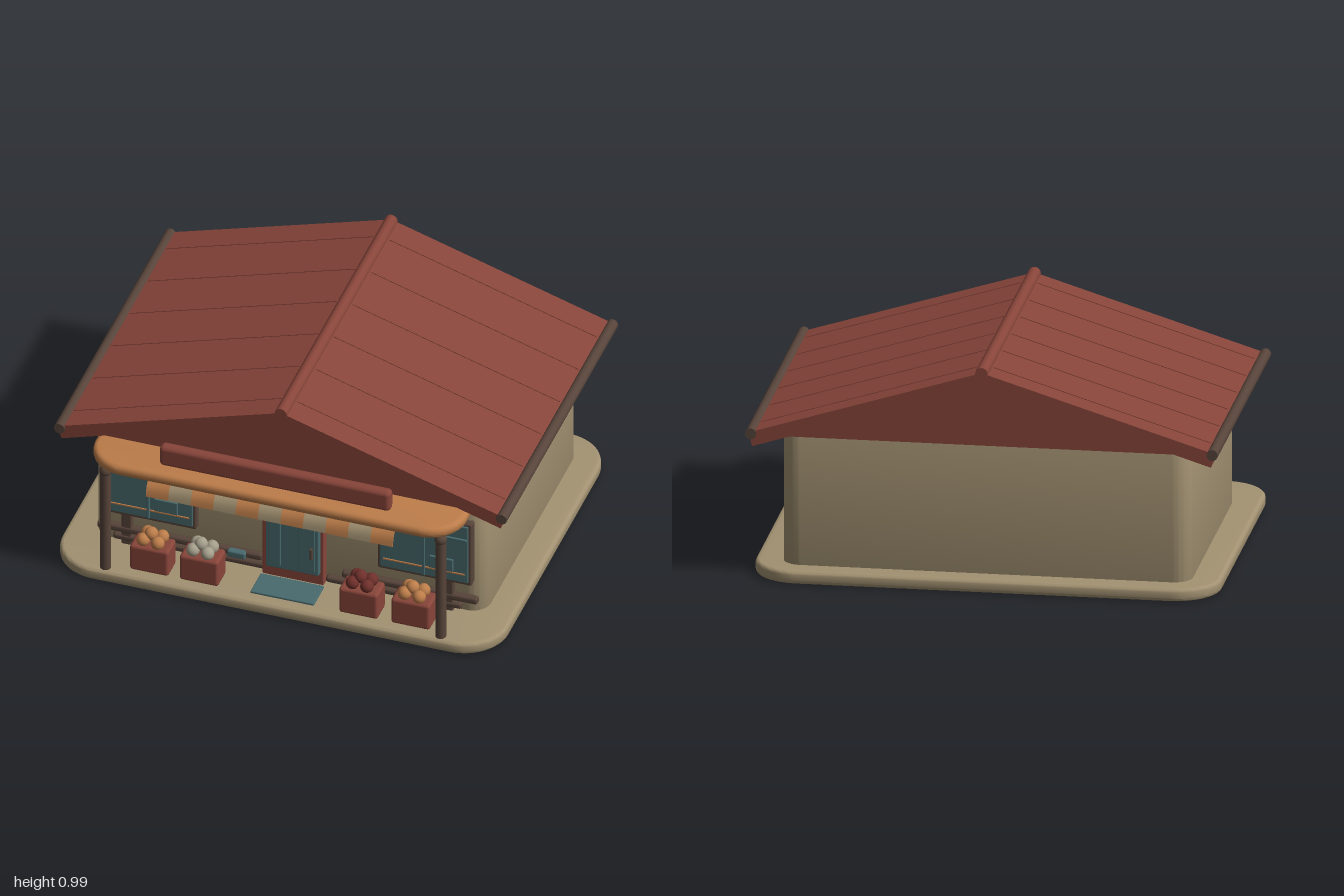
import * as THREE from 'three';
import { toCreasedNormals } from 'three/addons/utils/BufferGeometryUtils.js';
import { RoundedBoxGeometry } from 'three/addons/geometries/RoundedBoxGeometry.js';

const paint = (name, color) => {
  const m = new THREE.MeshStandardMaterial({ color });
  m.name = name;
  return m;
};

export function createModel() {
  const model = new THREE.Group();
  const cream = paint('cream plaster', 0xa39272);
  const red = paint('clay red', 0x88453a);
  const orange = paint('warm orange', 0xbd7d4a);
  const teal = paint('dusty teal', 0x486a6e);
  const brown = paint('dark timber', 0x57443a);
  const darkRed = paint('dark red fruit', 0x6f302b);
  const pale = paint('pale fruit', 0xa59f8c);

  const add = (name, geometry, material, x = 0, y = 0, z = 0, parent = model) => {
    const mesh = new THREE.Mesh(geometry, material);
    mesh.name = name;
    mesh.position.set(x, y, z);
    parent.add(mesh);
    return mesh;
  };
  // Box given by its limits, with softened edges
  const block = (name, material, x0, x1, y0, y1, z0, z1, r = 0.006, parent = model) =>
    add(name, new RoundedBoxGeometry(x1 - x0, y1 - y0, z1 - z0, 2, r), material,
      (x0 + x1) / 2, (y0 + y1) / 2, (z0 + z1) / 2, parent);

  // Horizontal slab with rounded plan corners and a rounded rim
  const slab = (name, material, x, z0, z1, y0, y1, rFront, rBack, bevel) => {
    const a = x - bevel, f = -(z1 - bevel), b = -(z0 + bevel);
    const s = new THREE.Shape();
    s.moveTo(-a + rFront, f);
    s.lineTo(a - rFront, f);
    s.absarc(a - rFront, f + rFront, rFront, -Math.PI / 2, 0);
    s.absarc(a - rBack, b - rBack, rBack, 0, Math.PI / 2);
    s.absarc(-a + rBack, b - rBack, rBack, Math.PI / 2, Math.PI);
    s.absarc(-a + rFront, f + rFront, rFront, Math.PI, Math.PI * 1.5);
    const g = new THREE.ExtrudeGeometry(s, {
      depth: y1 - y0 - 2 * bevel, bevelEnabled: true, bevelSize: bevel,
      bevelThickness: bevel, bevelSegments: 3, curveSegments: 8,
    });
    g.rotateX(-Math.PI / 2);
    return add(name, toCreasedNormals(g, 0.7), material, 0, y0 + bevel, 0);
  };

  slab('basePlinth', cream, 0.985, -0.78, 0.77, 0, 0.055, 0.18, 0.18, 0.015);
  slab('houseBody', cream, 0.865, -0.68, 0.53, 0.04, 0.655, 0.07, 0.07, 0.01);

  // Roof: chevron shell, closed gables, ridge, gutters and seams
  const extrudeZ = (points, z0, z1) => {
    const g = new THREE.ExtrudeGeometry(
      new THREE.Shape(points.map(([x, y]) => new THREE.Vector2(x, y))),
      { depth: z1 - z0, bevelEnabled: false });
    return g.translate(0, 0, z0);
  };
  add('roofPanels', extrudeZ([[0, 0.967], [-0.985, 0.66], [-0.97, 0.6], [0, 0.907],
    [0.97, 0.6], [0.985, 0.66]], -0.79, 0.635), red);
  add('gable', extrudeZ([[-0.86, 0.642], [0.86, 0.642], [0, 0.912]], -0.765, 0.61), red);

  const rod = (name, material, r, length, x, y, z, axis, parent = model) => {
    const g = new THREE.CylinderGeometry(r, r, length, 16);
    if (axis === 'z') g.rotateX(Math.PI / 2);
    if (axis === 'x') g.rotateZ(Math.PI / 2);
    return add(name, g, material, x, y, z, parent);
  };
  rod('ridgeCap', red, 0.027, 1.43, 0, 0.963, -0.077, 'z');
  const slope = Math.atan2(0.307, 0.985);
  for (const side of [-1, 1]) {
    rod('gutter', brown, 0.024, 1.44, side * 0.976, 0.655, -0.075, 'z');
    for (let i = 0; i < 6; i++) {
      const seam = add('roofSeam', new THREE.BoxGeometry(0.96, 0.006, 0.012), red,
        side * 0.492, 0.8135, 0.52 - i * 0.238);
      seam.rotation.z = -side * slope;
    }
  }

  // Porch canopy with sign board and posts
  slab('canopy', orange, 0.82, 0.5, 0.793, 0.585, 0.637, 0.14, 0.03, 0.02);
  block('signBoard', red, -0.51, 0.51, 0.63, 0.73, 0.672, 0.724, 0.02);
  block('canopyBeam', cream, -0.7, 0.7, 0.558, 0.588, 0.58, 0.61);
  for (const side of [-1, 1]) {
    rod('porchPost', brown, 0.023, 0.515, side * 0.74, 0.31, 0.735, 'y');
    add('postCap', new THREE.SphereGeometry(0.027, 16, 10), brown, side * 0.74, 0.56, 0.735);
    block('canopyBracket', teal, side * 0.61 - 0.045, side * 0.61 + 0.045, 0.542, 0.549, 0.59, 0.68, 0.003);
  }

  // Striped valance: curved strips in two colours
  const valance = new THREE.Group();
  valance.name = 'valance';
  model.add(valance);
  const drop = [[0.72, 0.588], [0.752, 0.578], [0.776, 0.556], [0.785, 0.53], [0.788, 0.508]];
  const stripWidth = 1.09 / 11;
  for (let i = 0; i < 11; i++) {
    const outline = [...drop, ...drop.map(([z, y]) => [z - 0.006, y - 0.001]).reverse()];
    const g = extrudeZ(outline, -stripWidth / 2, stripWidth / 2);
    g.rotateY(-Math.PI / 2);
    add('valanceStrip', toCreasedNormals(g, 0.7), i % 2 ? cream : orange, (i - 5) * stripWidth, 0, 0, valance);
  }

  // Windows: timber frame, panes, glazing bars and ledge
  for (const side of [-1, 1]) {
    const win = new THREE.Group();
    win.name = 'window';
    win.position.x = side * 0.608;
    model.add(win);
    block('windowFrame', brown, -0.208, 0.208, 0.205, 0.525, 0.51, 0.56, 0.008, win);
    block('windowPane', teal, -0.194, 0.194, 0.222, 0.513, 0.545, 0.568, 0.004, win);
    block('glazingBar', teal, -0.006, 0.006, 0.225, 0.51, 0.56, 0.578, 0.003, win);
    block('glazingBar', teal, -0.19, 0.19, 0.439, 0.451, 0.56, 0.576, 0.003, win);
    block('windowLedge', orange, -0.18, 0.18, 0.262, 0.27, 0.56, 0.572, 0.002, win);
    block('windowDisplay', teal, 0.025, 0.13, 0.272, 0.335, 0.56, 0.576, 0.004, win);
  }

  // Door with surround, panel strips and handle
  block('doorSurround', red, -0.107, 0.165, 0.055, 0.53, 0.51, 0.565);
  block('doorLeaf', teal, -0.085, 0.15, 0.115, 0.513, 0.55, 0.588);
  block('doorPanel', teal, -0.07, -0.016, 0.135, 0.5, 0.57, 0.595, 0.004);
  block('doorPanel', teal, 0.06, 0.135, 0.135, 0.5, 0.57, 0.595, 0.004);
  rod('doorHandle', brown, 0.008, 0.05, 0.122, 0.235, 0.6, 'y');
  block('doorMat', teal, -0.11, 0.17, 0.05, 0.064, 0.575, 0.71, 0.004);

  // Low rails along the front wall
  for (const side of [-1, 1]) {
    const inner = side < 0 ? 0.11 : 0.24;
    block('upperRail', brown, ...(side < 0 ? [-0.84, -inner] : [inner, 0.84]), 0.11, 0.143, 0.525, 0.56, 0.012);
    block('lowerRail', brown, ...(side < 0 ? [-0.77, -0.1] : [0.17, 0.77]), 0.07, 0.1, 0.525, 0.56, 0.012);
    block('railPost', brown, side * 0.71 - 0.022, side * 0.71 + 0.022, 0.05, 0.21, 0.525, 0.556);
  }
  block('smallTealBox', teal, -0.26, -0.18, 0.11, 0.143, 0.54, 0.575, 0.008);

  // Crates heaped with fruit
  const heap = [[-0.034, 0.2, 0.685], [0.03, 0.195, 0.685], [-0.03, 0.205, 0.637], [0.034, 0.198, 0.637], [-0.006, 0.222, 0.662]];
  const crates = [[-0.557, orange], [-0.337, pale], [0.367, darkRed], [0.597, orange]];
  for (const [x, fruit] of crates) {
    const crate = new THREE.Group();
    crate.name = 'fruitCrate';
    crate.position.x = x;
    model.add(crate);
    block('crate', red, -0.086, 0.086, 0.05, 0.178, 0.607, 0.715, 0.014, crate);
    for (const [fx, fy, fz] of heap)
      add('fruit', new THREE.SphereGeometry(0.029, 16, 12), fruit, fx, fy, fz, crate);
  }

  return model;
}
